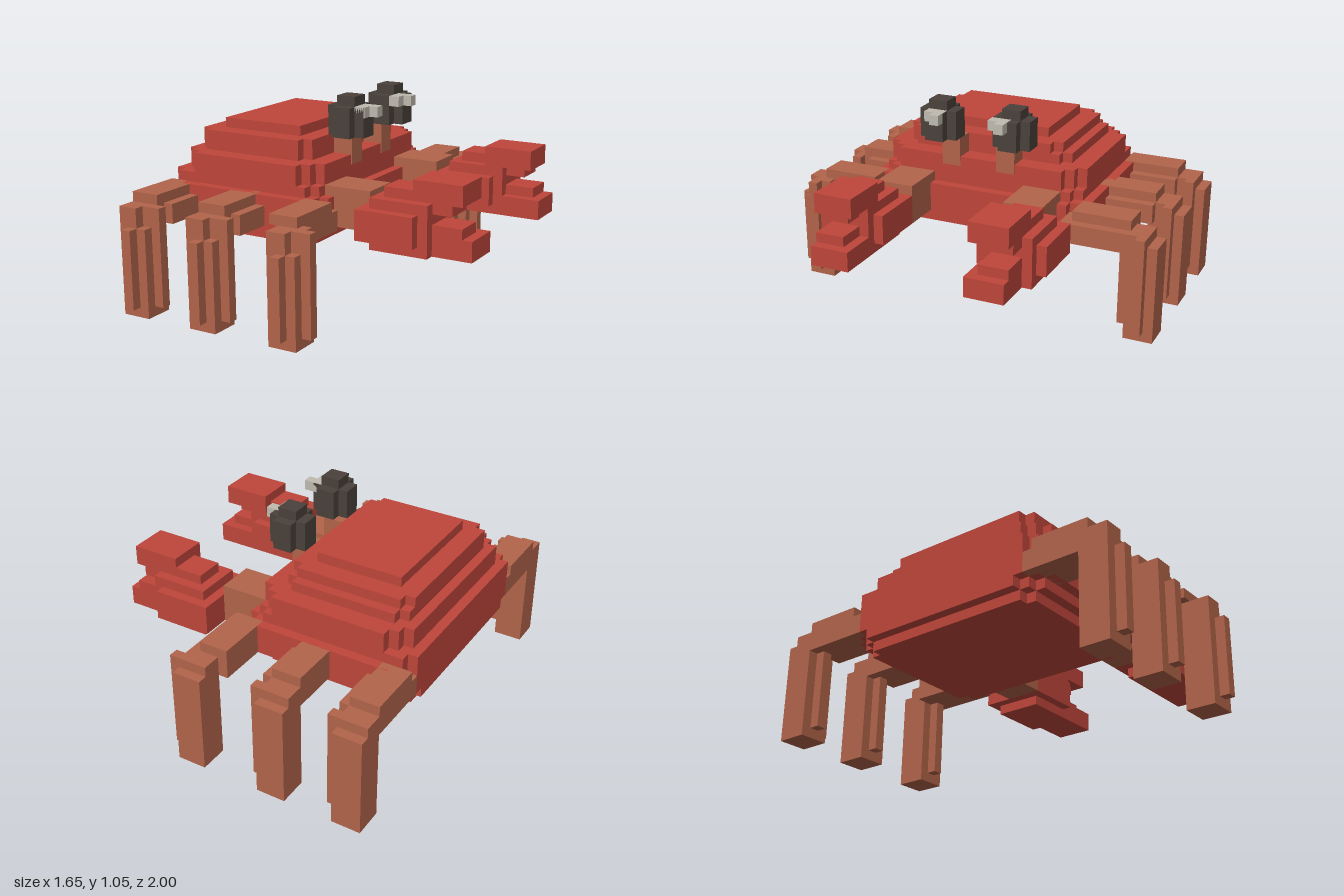
import * as THREE from 'three';

const mat = (name, color) => {
  const m = new THREE.MeshStandardMaterial({ color });
  m.name = name;
  return m;
};

export function createModel() {
  const red = mat('shell red', 0xbf463a);
  const brown = mat('limb brown', 0xb2644a);
  const dark = mat('eye dark', 0x4a413b);
  const pale = mat('eye glint', 0xbfbbb0);
  const crab = new THREE.Group();
  crab.name = 'crab';

  const group = (name) => {
    const g = new THREE.Group();
    g.name = name;
    crab.add(g);
    return g;
  };
  // box from its min and max on each axis
  const box = (parent, name, material, x0, x1, y0, y1, z0, z1) => {
    const mesh = new THREE.Mesh(new THREE.BoxGeometry(x1 - x0, y1 - y0, z1 - z0), material);
    mesh.position.set((x0 + x1) / 2, (y0 + y1) / 2, (z0 + z1) / 2);
    mesh.name = name;
    parent.add(mesh);
  };
  // slab whose four corners are cut in stair steps
  const slab = (parent, name, material, x0, x1, y0, y1, z0, z1, steps, s = 0.05) => {
    const pts = [];
    const corner = (cx, cz, dx, dz, flip) => {
      const c = [];
      for (let i = 0; i <= steps; i++) {
        c.push([cx + dx * i * s, cz + dz * (steps - i) * s]);
        if (i < steps) c.push([cx + dx * (i + 1) * s, cz + dz * (steps - i) * s]);
      }
      pts.push(...(flip ? c.reverse() : c));
    };
    corner(x0, z0, 1, 1, false);
    corner(x1, z0, -1, 1, true);
    corner(x1, z1, -1, -1, false);
    corner(x0, z1, 1, -1, true);
    const shape = new THREE.Shape(pts.map(([x, z]) => new THREE.Vector2(x, -z)));
    const geo = new THREE.ExtrudeGeometry(shape, { depth: y1 - y0, bevelEnabled: false });
    geo.rotateX(-Math.PI / 2);
    geo.translate(0, y0, 0);
    const mesh = new THREE.Mesh(geo, material);
    mesh.name = name;
    parent.add(mesh);
  };

  // Shell: stacked layers, bottom to top [x0, x1, y0, y1, z0, z1, steps]
  const shell = group('shell');
  [
    [-0.775, -0.025, 0.35, 0.4, -0.5, 0.5, 1],
    [-0.825, 0.025, 0.4, 0.45, -0.55, 0.55, 2],
    [-0.825, 0.075, 0.45, 0.6, -0.6, 0.6, 2],
    [-0.825, 0.025, 0.6, 0.65, -0.55, 0.55, 1],
    [-0.775, 0.025, 0.65, 0.7, -0.55, 0.55, 2],
    [-0.775, 0.025, 0.7, 0.75, -0.55, 0.55, 2],
    [-0.725, -0.075, 0.75, 0.8, -0.45, 0.45, 1],
    [-0.725, -0.075, 0.8, 0.85, -0.4, 0.45, 1],
    [-0.625, -0.175, 0.85, 0.9, -0.3, 0.35, 0],
  ].forEach((l, i) => slab(shell, 'shellLayer' + (i + 1), red, ...l));

  // Legs: lower columns are repeated by shifting, so both sides share one shape
  [-0.825, -0.425, 0.025].forEach((x, i) => {
    for (const side of [1, -1]) {
      const leg = group((side > 0 ? 'left' : 'right') + ['Rear', 'Middle', 'Front'][i] + 'Leg');
      const z = side > 0 ? 0.8 : -1;
      const top = side > 0 ? 0.45 : 0.5;
      box(leg, 'lowerLeg', brown, x, x + 0.15, 0, top, z, z + 0.15);
      box(leg, 'sideRidge', brown, x + 0.15, x + 0.2, 0.05, 0.45, z + 0.05, z + 0.1);
      box(leg, 'endRidge', brown, x + 0.05, x + 0.1, 0.05, top, z + 0.15, z + 0.2);
      // thigh and stepped knee
      const span = (a, b) => (side > 0 ? [a, b] : [-b, -a]);
      const ux = i === 2 ? x - 0.05 : x;
      const w = i === 2 && side > 0 ? 0.15 : 0.2;
      box(leg, 'thigh', brown, ux, ux + w, 0.45, 0.55, ...span(0.5, side > 0 ? 0.8 : 0.85));
      box(leg, 'thighTop', brown, ux, ux + 0.15, 0.55, 0.6, ...span(0.55, 0.85));
      box(leg, 'knee', brown, x, x + 0.15, 0.45, 0.55, ...span(0.8, side > 0 ? 0.9 : 0.95));
      box(leg, 'kneeEdge', brown, x, x + 0.1, 0.45, 0.55, ...span(0.9, 0.95));
      box(leg, 'kneeRidge', brown, x + 0.15, x + 0.2, 0.45, 0.55, z + 0.05, z + 0.1);
    }
  });

  for (const side of [1, -1]) {
    const label = side > 0 ? 'left' : 'right';
    const span = (a, b) => (side > 0 ? [a, b] : [-b, -a]);

    // Arm and claw
    const claw = group(label + 'Claw');
    box(claw, 'arm', brown, 0.0, 0.275, 0.45, 0.65, ...span(0.25, 0.45));
    box(claw, 'palm', red, 0.275, 0.575, 0.45, 0.6, ...span(0.25, 0.6));
    box(claw, 'palmCore', red, 0.325, 0.625, 0.4, 0.65, ...span(0.3, 0.55));
    box(claw, 'palmTop', red, 0.375, 0.575, 0.65, 0.7, ...span(0.35, 0.5));
    box(claw, 'upperPincer', red, 0.525, 0.775, 0.65, 0.75, ...span(0.3, 0.5));
    box(claw, 'upperPincerRoot', red, 0.575, 0.725, 0.6, 0.65, ...span(0.35, 0.5));
    box(claw, 'lowerPincer', red, 0.575, 0.825, 0.4, 0.5, ...span(0.3, 0.5));
    box(claw, 'lowerPincerTop', red, 0.575, 0.775, 0.5, 0.55, ...span(0.35, 0.5));

    // Eye on its stalk
    const eye = group(label + 'Eye');
    box(eye, 'stalk', brown, -0.075, 0.03, 0.7, 0.85, ...span(0.1, 0.2));
    slab(eye, 'eyeball', dark, -0.075, 0.125, 0.85, 1, ...span(0.1, 0.3), 1);
    box(eye, 'eyeTop', dark, -0.025, 0.075, 1, 1.05, ...span(0.15, 0.25));
    box(eye, 'glint', pale, 0.075, 0.175, 0.95, 1.002, ...span(0.15, 0.2));
    const g = side > 0 ? [0.2, 0.25] : [-0.15, -0.1];
    box(eye, 'glintSide', pale, 0.075, 0.13, 0.95, 1.002, ...g);
  }
  return crab;
}
